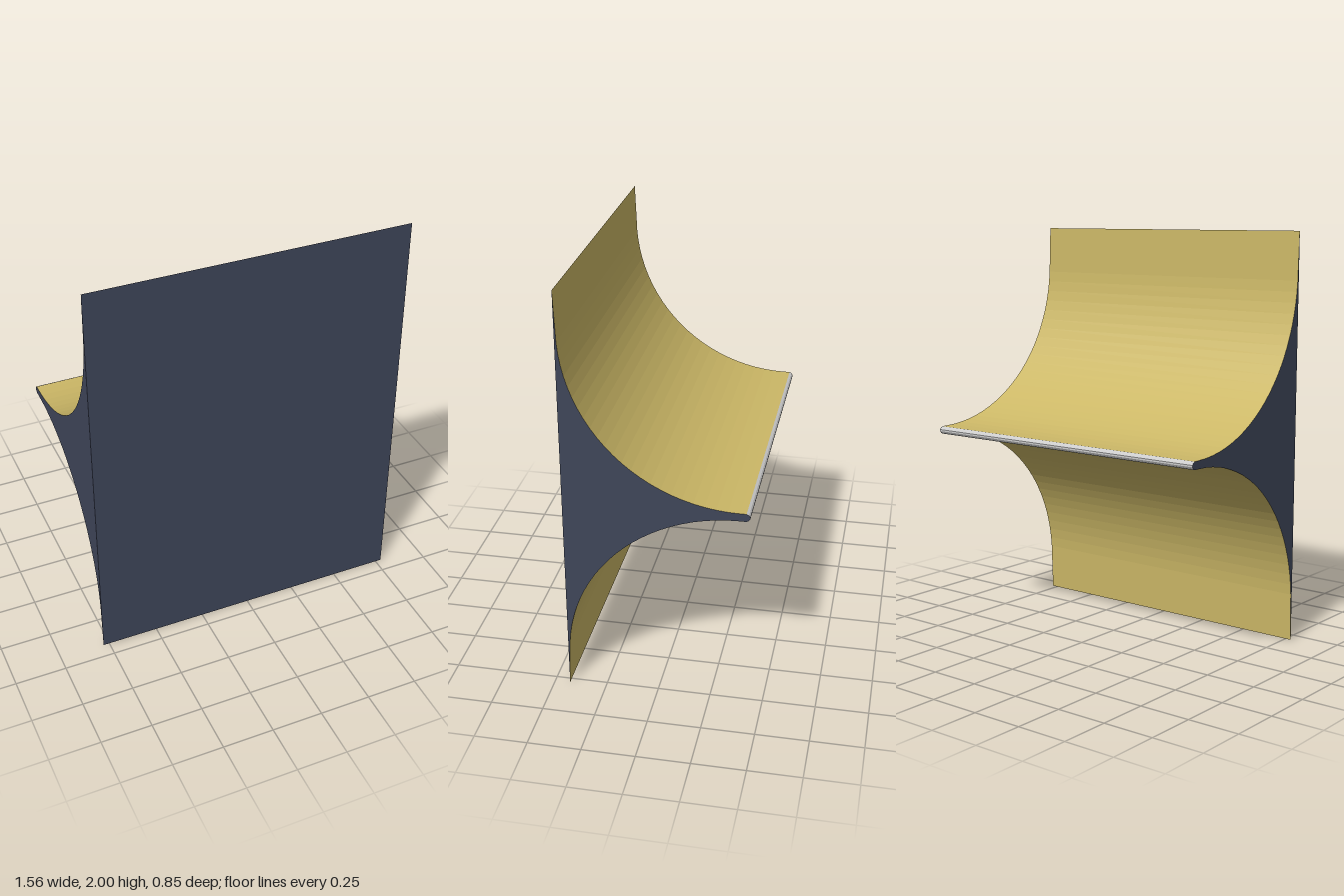
import * as THREE from 'three';

const HALF = 0.78;    // half width along x
const FRONT = 0.427;  // z of the flat front
const MID = 1;        // height of the symmetry plane

const navy = new THREE.MeshStandardMaterial({ color: 0x3f465a });
const gold = new THREE.MeshStandardMaterial({ color: 0xcbb766 });
const grey = new THREE.MeshStandardMaterial({ color: 0xcccccc });
for (const m of [navy, gold, grey]) {
  m.flatShading = true;
  m.side = THREE.DoubleSide;
}

// Sweeps an open (z, y) profile across the full width
function strip(points) {
  const pos = [];
  for (let i = 0; i < points.length - 1; i++) {
    const p = points[i], q = points[i + 1];
    const a = [-HALF, p.y, p.x], b = [HALF, p.y, p.x];
    const c = [HALF, q.y, q.x], d = [-HALF, q.y, q.x];
    pos.push(...a, ...b, ...d, ...b, ...c, ...d);
  }
  const geo = new THREE.BufferGeometry();
  geo.setAttribute('position', new THREE.Float32BufferAttribute(pos, 3));
  geo.computeVertexNormals();
  return geo;
}

const flip = pts => pts.map(p => new THREE.Vector2(p.x, 2 * MID - p.y)).reverse();

export function createModel() {
  const group = new THREE.Group();
  const add = (name, geo, mat) => {
    const mesh = new THREE.Mesh(geo, mat);
    mesh.name = name;
    group.add(mesh);
  };

  // Upper concave profile: thin lip, circular sweep, short flat run to the nose
  const upper = [new THREE.Vector2(FRONT, 2)];
  const steps = 24, r = 0.8;
  for (let i = 0; i <= steps; i++) {
    const t = (i / steps) * Math.PI / 2;
    upper.push(new THREE.Vector2(-0.38 + r * Math.cos(t), 1.819 - r * Math.sin(t)));
  }
  upper.push(new THREE.Vector2(-0.41, 1.019));
  const lower = flip(upper);

  // Chamfered nose
  const nose = [[-0.41, 1.019], [-0.421, 1.013], [-0.427, 1.004],
    [-0.427, 0.996], [-0.421, 0.987], [-0.41, 0.981]].map(p => new THREE.Vector2(...p));

  add('upperCurve', strip(upper), gold);
  add('lowerCurve', strip(lower), gold);
  add('noseEdge', strip(nose), grey);
  add('frontPanel', strip([new THREE.Vector2(FRONT, 0), new THREE.Vector2(FRONT, 2)]), navy);

  // End panels closing the cross-section on both sides
  const outline = [...upper, ...nose.slice(1, -1), ...lower];
  for (const s of [1, -1]) {
    const shape = new THREE.Shape(outline.map(p => new THREE.Vector2(-s * p.x, p.y)));
    const geo = new THREE.ShapeGeometry(shape).rotateY(s * Math.PI / 2).translate(s * HALF, 0, 0);
    add(s > 0 ? 'leftEndPanel' : 'rightEndPanel', geo, navy);
  }
  return group;
}
